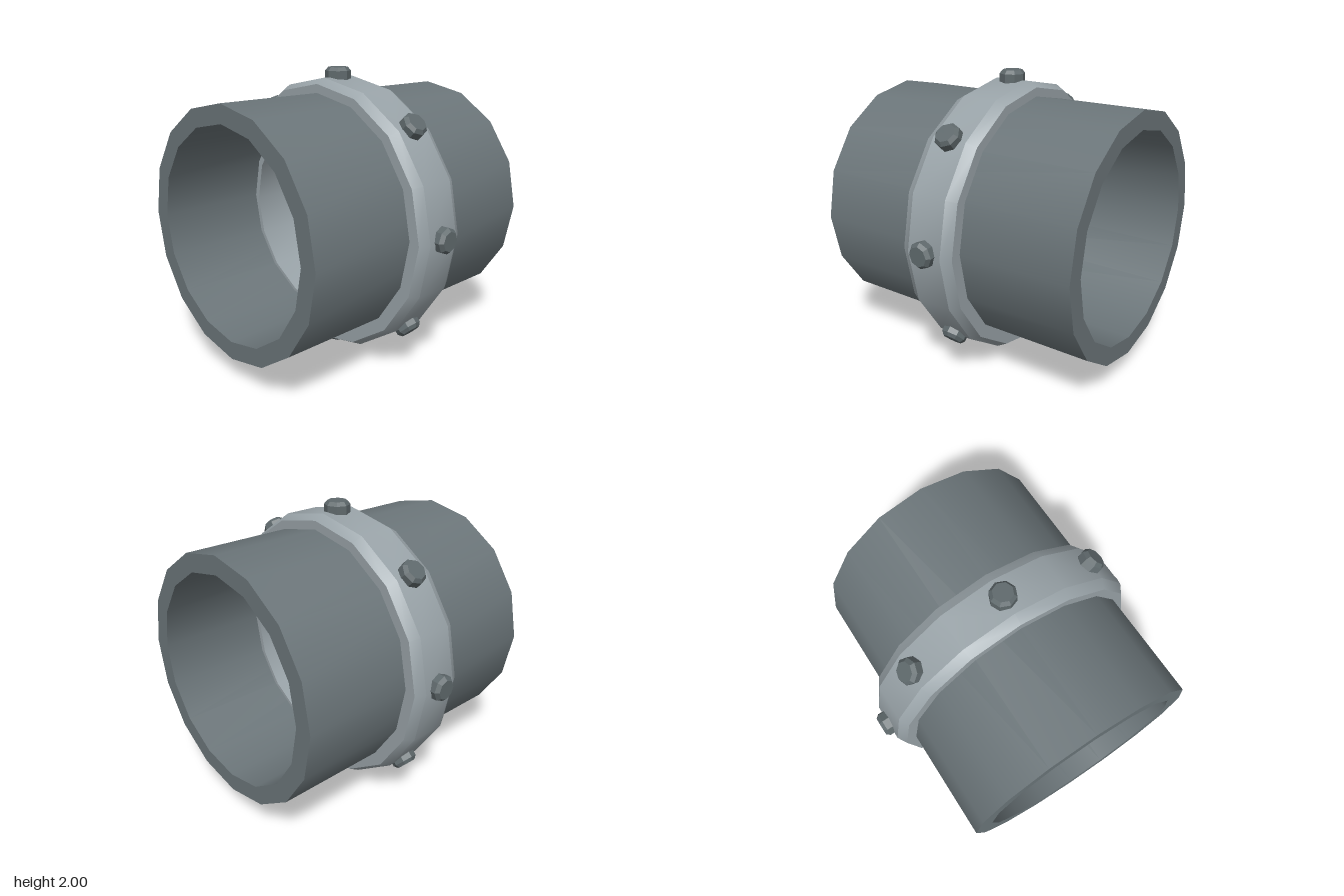
import * as THREE from 'three';
import { toCreasedNormals } from 'three/addons/utils/BufferGeometryUtils.js';

const SIDES = 16;

// Closed [radius, x] profile revolved about the x axis, with sharp profile edges
function ringGeometry(profile) {
  const points = [...profile, profile[0]].map(([r, x]) => new THREE.Vector2(r, x));
  const geometry = new THREE.LatheGeometry(points, SIDES);
  geometry.rotateZ(-Math.PI / 2);
  return toCreasedNormals(geometry, 0.45);
}

function addMesh(parent, name, geometry, color) {
  const mesh = new THREE.Mesh(geometry, new THREE.MeshStandardMaterial({ color }));
  mesh.name = name;
  parent.add(mesh);
  return mesh;
}

export function createModel() {
  const model = new THREE.Group();
  model.name = 'pipeCoupling';

  // Long hollow pipe lying along x
  const pipe = addMesh(model, 'pipe', ringGeometry([
    [0.835, -0.96], [0.835, 0.96], [0.712, 0.96], [0.712, -0.96],
  ]), 0x6b7579);
  pipe.position.y = 1.004;

  // Chamfered collar around the middle, its bore standing proud inside the pipe
  const collar = addMesh(model, 'collar', ringGeometry([
    [0.91, -0.193], [0.947, -0.127], [0.947, 0.127], [0.91, 0.193],
    [0.676, 0.193], [0.676, -0.193],
  ]), 0x99a3a8);
  collar.position.y = 0.988;

  // Eight chamfered octagonal bolts spaced around the collar
  const boltProfile = [[0, 0.87], [0.087, 0.87], [0.087, 0.976], [0.066, 1], [0, 1]];
  const boltGeometry = toCreasedNormals(new THREE.LatheGeometry(
    boltProfile.map(([r, y]) => new THREE.Vector2(r, y)), 8), 0.45);
  const bolts = new THREE.Group();
  bolts.name = 'bolts';
  bolts.position.y = 1;
  for (let i = 0; i < 8; i++) {
    const bolt = addMesh(bolts, 'bolt', boltGeometry, 0x5f696c);
    bolt.rotation.x = (i * Math.PI) / 4;
  }
  model.add(bolts);

  return model;
}
